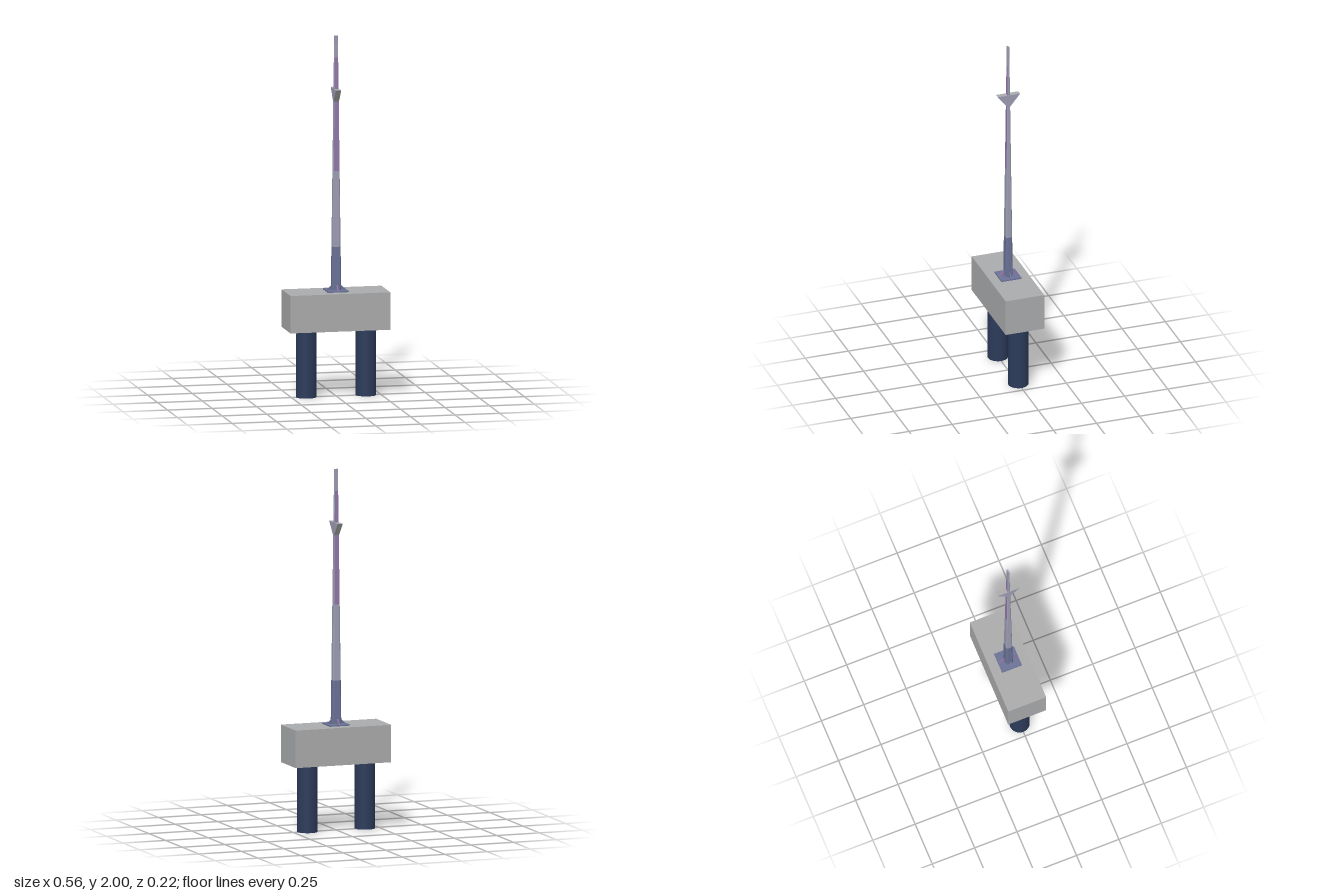
import * as THREE from 'three';

const mat = (name, color) => {
  const m = new THREE.MeshStandardMaterial({ color });
  m.name = name;
  return m;
};

export function createModel() {
  const model = new THREE.Group();
  const concrete = mat('concrete grey', 0xaaabac);
  const navy = mat('pile navy', 0x2c3b5a);
  const slate = mat('slate blue', 0x6a7296);
  const steel = mat('pale steel', 0x9c9db2);
  const purple = mat('muted purple', 0x9277ab);

  const add = (name, geometry, material, x = 0, y = 0, z = 0) => {
    const mesh = new THREE.Mesh(geometry, material);
    mesh.name = name;
    mesh.position.set(x, y, z);
    model.add(mesh);
    return mesh;
  };

  // Foundation: two round piles under a concrete block
  for (const s of [-1, 1]) {
    add('pile', new THREE.CylinderGeometry(0.056, 0.056, 0.375, 32), navy, s * 0.168, 0.1875, 0);
  }
  add('foundationBlock', new THREE.BoxGeometry(0.56, 0.208, 0.224), concrete, 0, 0.479, 0);
  add('basePlate', new THREE.BoxGeometry(0.117, 0.007, 0.117), slate, 0, 0.5865, 0);

  // Half width and half depth of the tapered pole at a height
  const halfSize = (y) => {
    const t = (y - 0.59) / 1.41;
    return [0.026 - 0.016 * t, 0.021 - 0.0165 * t];
  };

  // Eight corners of the chamfered section
  const ring = (y) => {
    const [w, d] = halfSize(y);
    const c = 0.35 * d;
    return [
      [-w + c, y, d], [w - c, y, d], [w, y, d - c], [w, y, -d + c],
      [w - c, y, -d], [-w + c, y, -d], [-w, y, -d + c], [-w, y, d - c],
    ];
  };

  // One flat-sided length of the pole; its front and back faces take a second colour
  const poleSection = (name, y0, y1, sideMat, faceMat) => {
    const a = ring(y0), b = ring(y1), pos = [];
    const geometry = new THREE.BufferGeometry();
    for (let i = 0; i < 8; i++) {
      const j = (i + 1) % 8;
      pos.push(...a[i], ...a[j], ...b[j], ...a[i], ...b[j], ...b[i]);
      geometry.addGroup(i * 6, 6, i % 4 === 0 ? 1 : 0);
    }
    for (let i = 1; i < 7; i++) pos.push(...b[0], ...b[i], ...b[i + 1]);
    geometry.addGroup(48, 18, 0);
    geometry.setAttribute('position', new THREE.Float32BufferAttribute(pos, 3));
    geometry.computeVertexNormals();
    add(name, geometry, [sideMat, faceMat]);
  };
  poleSection('poleFoot', 0.585, 0.83, slate, slate);
  poleSection('poleLower', 0.83, 1.25, steel, steel);
  poleSection('poleMiddle', 1.25, 1.72, steel, purple);
  poleSection('poleUpper', 1.72, 1.88, steel, purple);
  poleSection('poleTip', 1.88, 2, steel, steel);

  // Triangular gussets around the foot
  const gussetShape = new THREE.Shape([
    new THREE.Vector2(0.015, 0), new THREE.Vector2(0.055, 0), new THREE.Vector2(0.024, 0.029), new THREE.Vector2(0.015, 0.029),
  ]);
  const gusset = new THREE.ExtrudeGeometry(gussetShape, { depth: 0.005, bevelEnabled: false });
  gusset.translate(0, 0, -0.0025);
  for (let i = 0; i < 4; i++) {
    add('gusset', gusset, i % 2 ? purple : slate, 0, 0.589, 0).rotation.y = i * Math.PI / 2;
  }

  // Triangular crossarm bracket, wide from front to back
  const armShape = new THREE.Shape([
    new THREE.Vector2(0, 1.625), new THREE.Vector2(0.065, 1.705), new THREE.Vector2(-0.065, 1.705),
  ]);
  const arm = new THREE.ExtrudeGeometry(armShape, { depth: 0.03, bevelEnabled: false });
  arm.translate(0, 0, -0.015);
  arm.rotateY(Math.PI / 2);
  add('crossarmBracket', arm, [steel, concrete]);

  return model;
}
